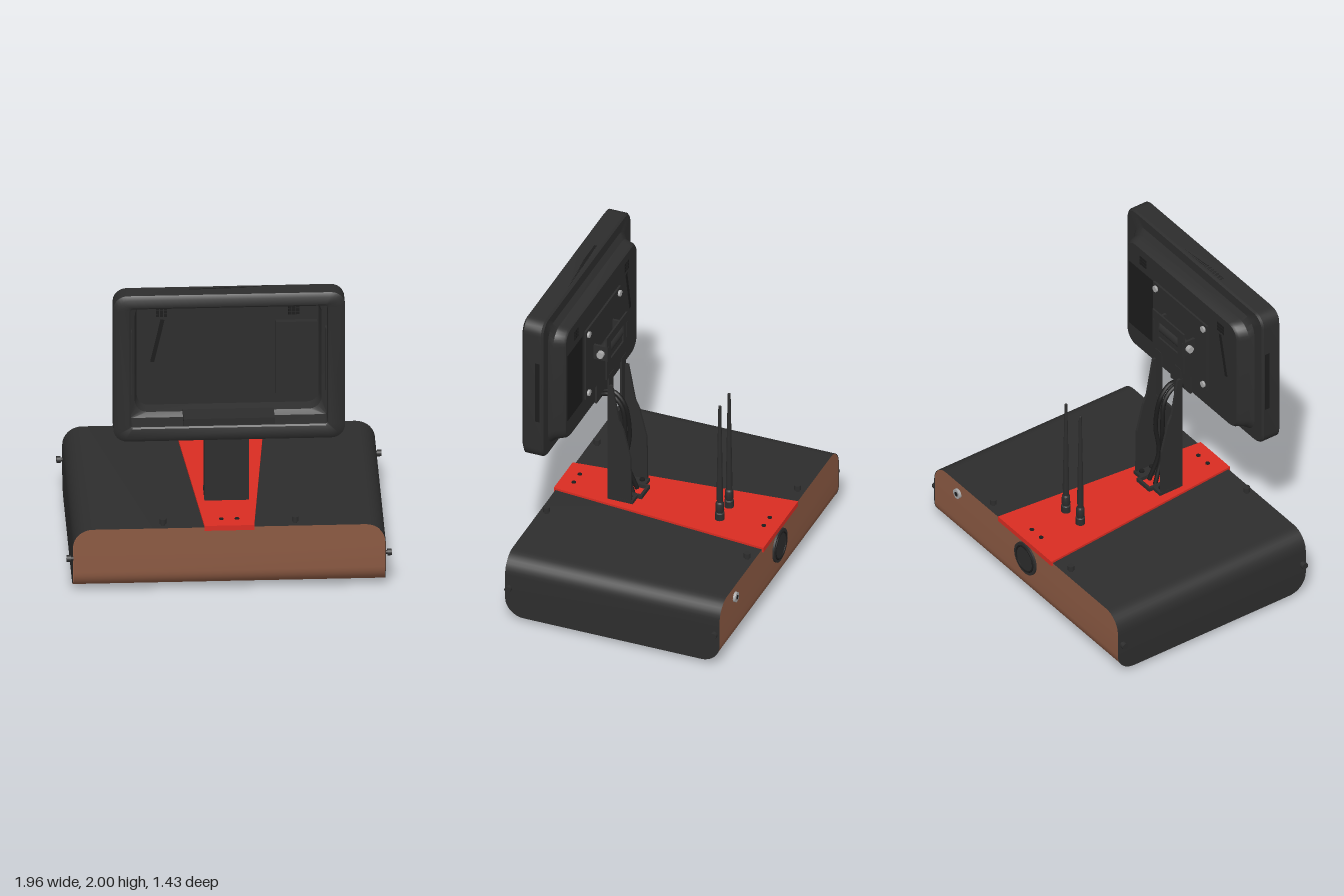
import * as THREE from 'three';
import { toCreasedNormals } from 'three/addons/utils/BufferGeometryUtils.js';

const mat = (name, color, side = THREE.FrontSide) => {
  const m = new THREE.MeshStandardMaterial({ color, side });
  m.name = name;
  return m;
};

// Base dimensions
const Y0 = 0.03, Y1 = 0.44, R = 0.12, HX = 0.945, HZ = 0.7;
const bulge = (d) => (d >= R ? 0 : R - Math.sqrt(R * R - (R - d) ** 2));
const halfX = (y) => HX - bulge(Y1 - y);
const halfZ = (y) => HZ - bulge(y - Y0);

function geometryFrom(positions, index, crease) {
  const g = new THREE.BufferGeometry();
  g.setAttribute('position', new THREE.Float32BufferAttribute(positions, 3));
  g.setIndex(index);
  return toCreasedNormals(g, crease);
}

// Bent sheet: a U-shaped path swept to a width that depends on height
function bentSheet(ys, place) {
  const pos = [], idx = [];
  const path = [...ys.map((y) => [1, y]), ...[...ys].reverse().map((y) => [-1, y])];
  path.forEach(([s, y], i) => {
    pos.push(...place(s, y, -1), ...place(s, y, 1));
    if (i) {
      const a = 2 * i - 2;
      idx.push(a, a + 1, a + 2, a + 1, a + 3, a + 2);
    }
  });
  return geometryFrom(pos, idx, 0.6);
}

// Outline of a rounded rectangle, counter-clockwise
function roundedOutline(hw, y0, y1, r, n = 6) {
  const pts = [];
  [[1, 1], [-1, 1], [-1, -1], [1, -1]].forEach(([sx, sy], q) => {
    for (let i = 0; i <= n; i++) {
      const a = (q + i / n) * Math.PI / 2;
      pts.push([sx * (hw - r) + r * Math.cos(a), (sy > 0 ? y1 - r : y0 + r) + r * Math.sin(a)]);
    }
  });
  return pts;
}

// Skin over successive rounded rectangles [halfWidth, bottom, top, radius, z]
function loft(sections) {
  const pos = [], idx = [];
  let n = 0;
  sections.forEach(([hw, y0, y1, r, z], k) => {
    const ring = roundedOutline(hw, y0, y1, r);
    n = ring.length;
    ring.forEach(([x, y], i) => {
      pos.push(x, y, z);
      if (!k) return;
      const b = k * n + i, b2 = k * n + (i + 1) % n;
      idx.push(b - n, b, b2 - n, b, b2, b2 - n);
    });
  });
  return geometryFrom(pos, idx, 0.6);
}

export function createModel() {
  const model = new THREE.Group();
  model.name = 'terminal';
  const black = mat('black', 0x2d2d2d);
  const blackSheet = mat('black sheet', 0x2d2d2d, THREE.DoubleSide);
  const dark = mat('dark black', 0x1c1c1c);
  const brown = mat('brown', 0x8c5a43, THREE.DoubleSide);
  const red = mat('red', 0xd92c22);
  const silver = mat('silver', 0xa8a8a8);

  const add = (name, geo, material, x = 0, y = 0, z = 0, parent = model) => {
    const m = new THREE.Mesh(geo, material);
    m.name = name;
    m.position.set(x, y, z);
    parent.add(m);
    return m;
  };
  // Box given by its limits
  const box = (name, material, x0, x1, y0, y1, z0, z1) =>
    add(name, new THREE.BoxGeometry(x1 - x0, y1 - y0, z1 - z0), material,
      (x0 + x1) / 2, (y0 + y1) / 2, (z0 + z1) / 2);
  // Cylinder along an axis
  const rod = (name, material, r, h, x, y, z, axis = 'y', sides = 20) => {
    const g = new THREE.CylinderGeometry(r, r, h, sides);
    if (axis === 'x') g.rotateZ(Math.PI / 2);
    if (axis === 'z') g.rotateX(Math.PI / 2);
    return add(name, g, material, x, y, z);
  };

  // Base: brown tray wrapped by a black cover
  const ys = [];
  for (let i = 0; i <= 8; i++) ys.push(Y0 + R * (1 - Math.cos(i / 8 * Math.PI / 2)));
  for (let i = 8; i >= 0; i--) ys.push(Y1 - R * (1 - Math.cos(i / 8 * Math.PI / 2)));
  add('baseCover', bentSheet(ys, (s, y, w) => [s * halfX(y), y, w * halfZ(y)]), blackSheet);
  add('baseTray', bentSheet([...ys].reverse(), (s, y, w) => [w * (halfX(y) - 0.003), y, s * (halfZ(y) - 0.002)]), brown);

  // Feet
  for (const x of [-0.77, 0, 0.77]) for (const z of [-0.49, 0.5])
    add('foot', new THREE.CylinderGeometry(0.055, 0.045, 0.03, 20), dark, x, 0.015, z);

  // Thumb screws on top and sides
  for (const sx of [-1, 1]) for (const sz of [-1, 1]) {
    rod('topKnobStem', black, 0.012, 0.02, sx * 0.4, 0.447, sz * 0.655);
    rod('topKnob', black, 0.021, 0.032, sx * 0.4, 0.468, sz * 0.655);
    rod('sideKnobStem', black, 0.012, 0.02, sx * 0.952, 0.235, sz * 0.67, 'x');
    rod('sideKnob', black, 0.021, 0.026, sx * 0.969, 0.235, sz * 0.67, 'x');
  }

  // Red tapered top plate with folded lips
  const trapezoid = new THREE.Shape([[-0.15, -0.705], [0.15, -0.705], [0.275, 0.705], [-0.275, 0.705]]
    .map(([x, y]) => new THREE.Vector2(x, y)));
  const plate = new THREE.ExtrudeGeometry(trapezoid, { depth: 0.014, bevelEnabled: false }).rotateX(-Math.PI / 2);
  add('redPlate', plate, red, 0, 0.441, 0);
  box('frontLip', red, -0.15, 0.15, 0.422, 0.455, 0.7, 0.71);
  box('backLip', red, -0.275, 0.275, 0.422, 0.455, -0.71, -0.7);
  for (const x of [-0.045, 0.05]) for (const z of [-0.62, 0.62])
    rod('plateScrew', dark, 0.014, 0.006, x, 0.456, z);

  // Back connectors
  rod('backDisc', black, 0.108, 0.012, 0, 0.305, -0.705, 'z', 32);
  add('backDiscRing', new THREE.TorusGeometry(0.085, 0.006, 6, 32), dark, 0, 0.305, -0.711);
  rod('backSocket', silver, 0.032, 0.016, 0.7, 0.36, -0.706, 'z');
  rod('backSocketHole', dark, 0.015, 0.004, 0.7, 0.36, -0.714, 'z');

  // Antennas
  const antenna = [[0, 0.455], [0.029, 0.455], [0.029, 0.5], [0.021, 0.505], [0.027, 0.52], [0.025, 0.57],
    [0.018, 0.58], [0.02, 0.63], [0.009, 1.27], [0, 1.275]].map(([r, y]) => new THREE.Vector2(r, y));
  for (const x of [-0.068, 0.08])
    add('antenna', toCreasedNormals(new THREE.LatheGeometry(antenna, 16), 0.6), black, x, 0, -0.345);

  // Stand: front plate, tapered side flanges and bolted feet
  box('standFront', black, -0.135, 0.135, 0.455, 1.0, 0.353, 0.367);
  const flange = new THREE.Shape([[0.21, 0.455], [0.367, 0.455], [0.367, 1.275], [0.335, 1.275], [0.29, 1.03],
    [0.262, 0.97], [0.215, 0.78]].map(([z, y]) => new THREE.Vector2(-z, y)));
  const flangeGeo = new THREE.ExtrudeGeometry(flange, { depth: 0.016, bevelEnabled: false }).rotateY(Math.PI / 2);
  for (const s of [-1, 1]) {
    add('standFlange', flangeGeo, black, s * 0.127 - 0.008, 0, 0);
    box('standFrontStrip', black, s * 0.1 - 0.033, s * 0.1 + 0.033, 1.0, 1.35, 0.355, 0.366);
    box('standFoot', black, s * 0.1 - 0.036, s * 0.1 + 0.036, 0.455, 0.478, 0.2, 0.35);
    for (const z of [0.235, 0.31]) rod('footBolt', dark, 0.016, 0.012, s * 0.1, 0.482, z);
    box('cableGuideSide', black, s * 0.057 - 0.008, s * 0.057 + 0.008, 0.455, 0.48, 0.17, 0.35);
  }
  box('cableGuideBack', black, -0.065, 0.065, 0.455, 0.48, 0.17, 0.186);

  // Cables through the stand
  for (const s of [-1, 1]) {
    const curve = new THREE.CatmullRomCurve3([[s * 0.03, 0.46, 0.24], [s * 0.015, 0.65, 0.3], [s * 0.035, 0.85, 0.29],
      [s * 0.02, 1.06, 0.32], [s * 0.02, 1.13, 0.39], [s * 0.02, 1.11, 0.48]].map((p) => new THREE.Vector3(...p)));
    add('cable', new THREE.TubeGeometry(curve, 32, 0.014, 8), dark);
  }

  // Upper stand plate with a window onto the hinge
  const head = new THREE.Shape([[-0.16, 1.33], [0.16, 1.33], [0.16, 1.63], [-0.16, 1.63]].map((p) => new THREE.Vector2(...p)));
  head.holes.push(new THREE.Path([[-0.1, 1.45], [-0.1, 1.57], [0.1, 1.57], [0.1, 1.45]].map((p) => new THREE.Vector2(...p))));
  add('standHead', new THREE.ExtrudeGeometry(head, { depth: 0.01, bevelEnabled: false }), black, 0, 0, 0.357);

  // Tilt hinge and mounting plate
  rod('hingeBarrel', black, 0.036, 0.28, 0, 1.51, 0.395, 'x');
  for (const s of [-1, 1]) {
    box('hingeEar', black, s * 0.147 - 0.008, s * 0.147 + 0.008, 1.46, 1.56, 0.355, 0.45);
    rod('hingeBolt', silver, 0.022, 0.03, s * 0.168, 1.51, 0.397, 'x');
    for (const y of [1.27, 1.69]) rod('mountScrew', silver, 0.02, 0.016, s * 0.245, y, 0.441, 'z');
  }
  box('mountPlate', black, -0.275, 0.275, 1.235, 1.725, 0.447, 0.459);
  box('mountTab', black, -0.1, 0.1, 1.1, 1.235, 0.45, 0.464);

  // Monitor housing: open at the front with a tapered hump behind
  add('monitorHousing', loft([
    [0, 1.515, 1.515, 0, 0.476],
    [0.55, 1.165, 1.865, 0.07, 0.476],
    [0.565, 1.15, 1.88, 0.08, 0.545],
    [0.595, 1.12, 1.915, 0.015, 0.563],
    [0.595, 1.12, 1.915, 0.015, 0.69],
    [0.605, 1.11, 1.925, 0.02, 0.697],
    [0.675, 1.045, 1.975, 0.07, 0.697],
    [0.7, 1.02, 2.0, 0.085, 0.68],
    [0.7, 1.02, 2.0, 0.085, 0.568],
    [0.69, 1.03, 1.99, 0.08, 0.556],
    [0.615, 1.07, 1.925, 0.1, 0.556],
    [0.595, 1.085, 1.89, 0.1, 0.53],
    [0.575, 1.1, 1.88, 0.09, 0.475],
    [0.56, 1.11, 1.87, 0.08, 0.462],
    [0, 1.515, 1.515, 0, 0.462],
  ]), black);

  // Edge slots and their inner boxes
  box('bottomInnerBox', black, -0.275, 0.275, 1.115, 1.165, 0.55, 0.685);
  box('topSlot', dark, -0.24, 0.24, 1.995, 2.0, 0.575, 0.605);
  box('bottomSlot', dark, -0.24, 0.24, 1.019, 1.024, 0.575, 0.605);
  for (const s of [-1, 1]) {
    box('sideSlot', dark, s * 0.698 - 0.003, s * 0.698 + 0.003, 1.3, 1.72, 0.575, 0.605);
    box('sideInnerBox', black, s * 0.592 - 0.008, s * 0.592 + 0.008, 1.3, 1.72, 0.57, 0.61);
  }

  // Accessory bay
  box('bayInner', black, 0.29, 0.54, 1.23, 1.72, 0.474, 0.51);
  box('bayOuter', dark, 0.3, 0.54, 1.24, 1.71, 0.459, 0.464);

  // Speaker vents and slanted cable slot, inside and outside
  for (const z of [0.477, 0.461]) {
    for (const x of [-0.4, 0.4]) for (let i = 0; i < 3; i++) for (let j = 0; j < 3; j++)
      box('vent', dark, x - 0.034 + i * 0.024, x - 0.014 + i * 0.024, 1.755 + j * 0.022, 1.773 + j * 0.022, z - 0.002, z + 0.002);
    const slot = box('slantedSlot', dark, -0.437, -0.413, 1.45, 1.74, z - 0.002, z + 0.002);
    slot.rotation.z = -0.22;
  }
  return model;
}
